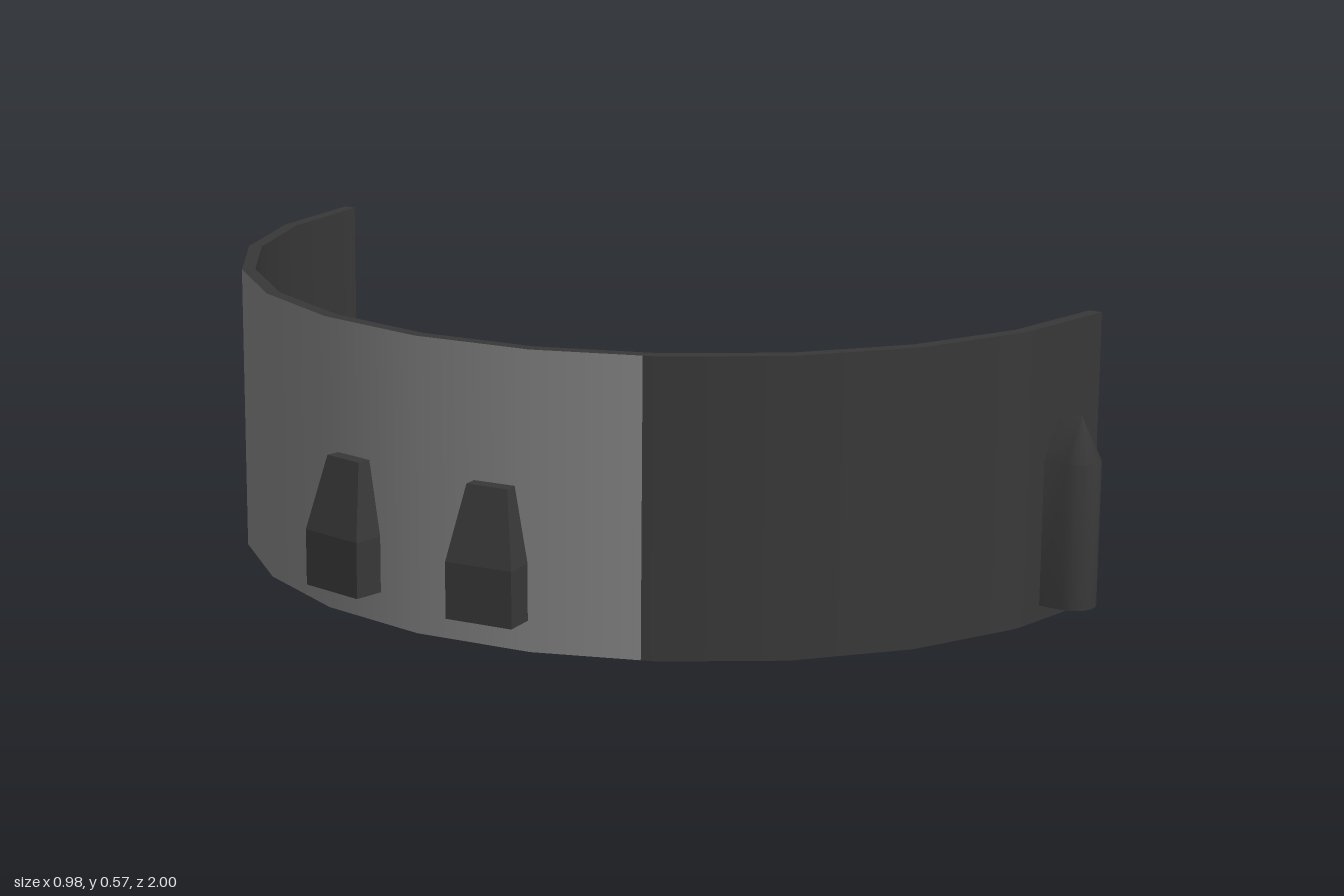
import * as THREE from 'three';
import { toCreasedNormals } from 'three/addons/utils/BufferGeometryUtils.js';
import { ConvexGeometry } from 'three/addons/geometries/ConvexGeometry.js';

const CX = 0.485, OUTER = 0.93, INNER = 0.903, HEIGHT = 0.575, STEP = 15;
const rad = THREE.MathUtils.degToRad;

// Radius factor that keeps any angle on the straight sides of the 15 degree facets
function facet(deg) {
  const local = deg - Math.floor(deg / STEP) * STEP;
  return Math.cos(rad(STEP / 2)) / Math.cos(rad(local - STEP / 2));
}

// Curved strip sweeping the profile edge (r0,y0)-(r1,y1) between two angles
function strip(from, to, [r0, y0], [r1, y1]) {
  const angles = [from];
  for (let a = Math.floor(from / STEP) * STEP + STEP; a < to; a += STEP) angles.push(a);
  angles.push(to);
  const pos = [], nor = [], index = [];
  const len = Math.hypot(r1 - r0, y1 - y0);
  const nr = (y1 - y0) / len, ny = -(r1 - r0) / len;
  angles.forEach((deg, i) => {
    const c = Math.cos(rad(deg)), s = Math.sin(rad(deg)), f = facet(deg);
    for (const [r, y] of [[r0, y0], [r1, y1]]) {
      pos.push(CX - r * f * c, y, r * f * s);
      nor.push(-nr * c, ny, nr * s);
    }
    if (i > 0) {
      const k = 2 * (i - 1);
      index.push(k, k + 2, k + 3, k, k + 3, k + 1);
    }
  });
  const geo = new THREE.BufferGeometry();
  geo.setAttribute('position', new THREE.Float32BufferAttribute(pos, 3));
  geo.setAttribute('normal', new THREE.Float32BufferAttribute(nor, 3));
  geo.setIndex(index);
  return geo;
}

// Pointed half-round pin, rounded towards +z, its top tapering to a ridge
function pinGeometry() {
  const r = 0.045, points = [];
  for (const y of [0.03, 0.315]) {
    points.push(new THREE.Vector3(-r, y, -0.05), new THREE.Vector3(r, y, -0.05));
    for (let i = 0; i <= 12; i++) {
      const a = (i / 12) * Math.PI;
      points.push(new THREE.Vector3(r * Math.cos(a), y, r * Math.sin(a)));
    }
  }
  points.push(new THREE.Vector3(0, 0.402, 0.005), new THREE.Vector3(0, 0.402, -0.05));
  return toCreasedNormals(new ConvexGeometry(points), 0.5);
}

// Tapered lug pointing along -x: [height, half width, reach]
function lugGeometry() {
  const points = [];
  for (const [y, w, reach] of [[0.06, 0.07, 0.984], [0.17, 0.07, 0.984], [0.315, 0.043, 0.95]]) {
    for (const s of [-1, 1]) {
      points.push(new THREE.Vector3(-reach, y, s * w), new THREE.Vector3(-0.91, y, s * w));
    }
  }
  return new ConvexGeometry(points);
}

export function createModel() {
  const model = new THREE.Group();
  model.name = 'curvedBand';
  const dark = new THREE.MeshStandardMaterial({ color: 0x383838 });
  dark.name = 'charcoal';
  const grey = new THREE.MeshStandardMaterial({ color: 0x828282 });
  grey.name = 'midGrey';

  const add = (name, geo, mat) => {
    const mesh = new THREE.Mesh(geo, mat);
    mesh.name = name;
    model.add(mesh);
    return mesh;
  };

  // Half-ring wall, with a grey panel over part of its outside
  const panelStart = -83.7, panelEnd = 28;
  const outside = [[OUTER, 0], [OUTER, HEIGHT]];
  add('outerWallBack', strip(-90, panelStart, ...outside), dark);
  add('outerPanel', strip(panelStart, panelEnd, ...outside), grey);
  add('outerWallFront', strip(panelEnd, 90, ...outside), dark);
  add('innerWall', strip(-90, 90, [INNER, HEIGHT], [INNER, 0]), dark);
  add('topRim', strip(-90, 90, [OUTER, HEIGHT], [INNER, HEIGHT]), dark);
  add('bottomRim', strip(-90, 90, [INNER, 0], [OUTER, 0]), dark);

  const pin = pinGeometry(), lug = lugGeometry();
  for (const s of [1, -1]) {
    const side = s > 0 ? 'Front' : 'Back';
    // End face of the wall
    const end = add('end' + side, new THREE.PlaneGeometry(OUTER - INNER, HEIGHT), dark);
    end.rotation.y = Math.PI / 2;
    end.position.set(CX, HEIGHT / 2, s * (OUTER + INNER) / 2);

    // Pin near the end
    const p = add('pin' + side, pin, dark);
    p.position.set(0.361, 0, s * 0.955);
    p.rotation.y = s > 0 ? 0 : Math.PI;

    // Lug lying flat on the facet beside the middle
    const a = rad(STEP / 2), shift = 0.047;
    const l = add('lug' + side, lug, dark);
    l.rotation.y = s * a;
    l.position.set(CX + shift * Math.sin(a), 0, s * shift * Math.cos(a));
  }
  return model;
}
